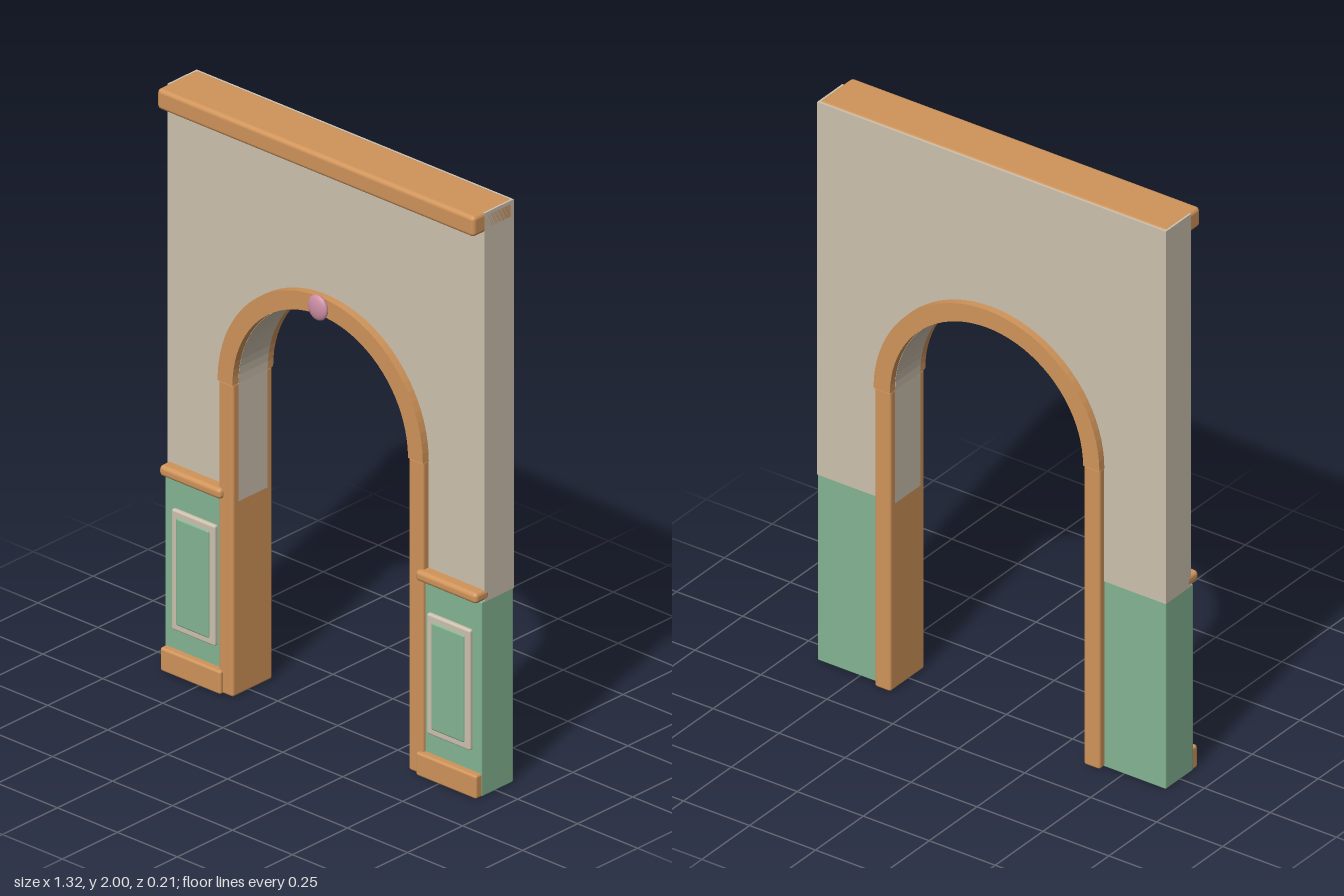
import * as THREE from 'three';
import { RoundedBoxGeometry } from 'three/addons/geometries/RoundedBoxGeometry.js';

const paint = (name, color) => {
  const m = new THREE.MeshStandardMaterial({ color });
  m.name = name;
  return m;
};

export function createModel() {
  const plaster = paint('plaster', 0xcdc1ae);
  const wood = paint('wood', 0xd0945a);
  const green = paint('greenPanel', 0x84b493);
  const pink = paint('pinkBoss', 0xcc8ea4);

  const model = new THREE.Group();
  model.name = 'archway';

  const add = (parent, name, geometry, material) => {
    const mesh = new THREE.Mesh(geometry, material);
    mesh.name = name;
    parent.add(mesh);
    return mesh;
  };

  // Rounded box given by its limits on each axis
  const block = (parent, name, material, [x0, x1], [y0, y1], [z0, z1], r) => {
    const geo = new RoundedBoxGeometry(x1 - x0, y1 - y0, z1 - z0, 3, r);
    geo.translate((x0 + x1) / 2, (y0 + y1) / 2, (z0 + z1) / 2);
    return add(parent, name, geo, material);
  };

  const extrude = (shape, z0, z1) => {
    const geo = new THREE.ExtrudeGeometry(shape, { depth: z1 - z0, bevelEnabled: false, curveSegments: 20 });
    return geo.translate(0, 0, z0);
  };

  const spring = 1.07;   // height where the arch begins
  const inner = 0.365;
  const outer = 0.428;

  // Upper wall with the arched opening cut out
  const wall = new THREE.Shape();
  wall.moveTo(inner, 0.665);
  wall.lineTo(0.661, 0.665);
  wall.lineTo(0.661, 1.998);
  wall.lineTo(-0.661, 1.998);
  wall.lineTo(-0.661, 0.665);
  wall.lineTo(-inner, 0.665);
  wall.lineTo(-inner, spring);
  wall.absarc(0, spring, inner, Math.PI, 0, true);
  wall.closePath();
  add(model, 'wall', extrude(wall, -0.079, 0.053), plaster);

  // Arched trim standing proud on both faces
  const arch = new THREE.Shape();
  arch.absarc(0, spring, outer, 0, Math.PI, false);
  arch.absarc(0, spring, inner + 0.001, Math.PI, 0, true);
  arch.closePath();
  add(model, 'archTrim', extrude(arch, -0.105, 0.08), wood);

  // Cornice along the top
  block(model, 'cornice', wood, [-0.661, 0.661], [1.93, 2], [-0.078, 0.104], 0.014);

  // Boss at the crown of the arch
  const boss = add(model, 'crownBoss', new THREE.SphereGeometry(1, 24, 16), pink);
  boss.scale.set(0.04, 0.043, 0.016);
  boss.position.set(0, 1.466, 0.09);

  // The two legs, mirrored by their x limits
  for (const side of [1, -1]) {
    const leg = new THREE.Group();
    leg.name = side > 0 ? 'leftLeg' : 'rightLeg';
    model.add(leg);
    const span = (a, b) => (side > 0 ? [a, b] : [-b, -a]);

    block(leg, 'jamb', wood, span(inner + 0.001, 0.427), [0, spring + 0.004], [-0.103, 0.078], 0.009);
    block(leg, 'wainscot', green, span(0.375, 0.66), [0.001, 0.668], [-0.078, 0.066], 0.004);
    block(leg, 'baseboard', wood, span(0.407, 0.659), [0, 0.08], [-0.07, 0.091], 0.008);
    block(leg, 'chairRail', wood, span(0.405, 0.662), [0.668, 0.705], [0.03, 0.094], 0.014);

    // Raised panel: pale moulding round a green field
    block(leg, 'panelMoulding', plaster, span(0.441, 0.623), [0.15, 0.563], [0.056, 0.079], 0.007);
    block(leg, 'panelField', green, span(0.463, 0.601), [0.172, 0.541], [0.058, 0.084], 0.007);
  }

  return model;
}
